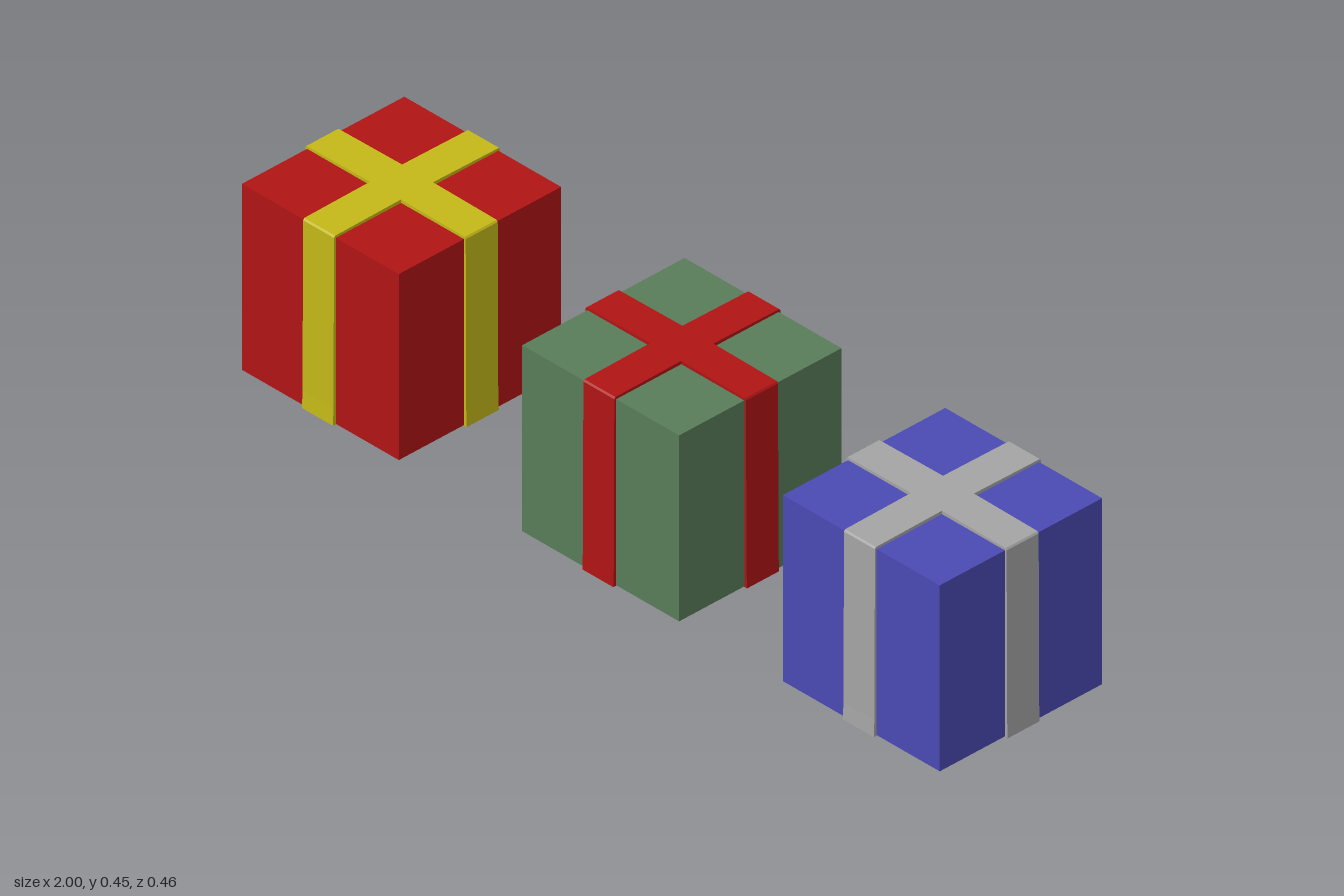
import * as THREE from 'three';

const SIDE = 0.446, HEIGHT = 0.443, RIBBON_WIDTH = 0.088;

// Upper right half of the ribbon loop, mirrored for the other half
const HALF_LOOP = [
  [0.231, 0], [0.2295, 0.04], [0.229, 0.16], [0.2285, 0.3],
  [0.228, 0.445], [0.225, 0.449], [0.18, 0.4495], [0.05, 0.451],
];

// Band wrapped around the box, running along x
function ribbonGeometry() {
  const mirrored = HALF_LOOP.map(([x, y]) => [-x, y]).reverse();
  const outline = [...HALF_LOOP, ...mirrored].map(([x, y]) => new THREE.Vector2(x, y));
  const geometry = new THREE.ExtrudeGeometry(new THREE.Shape(outline), {
    depth: RIBBON_WIDTH, bevelEnabled: false,
  });
  return geometry.translate(0, 0, -RIBBON_WIDTH / 2);
}

function createGift(name, x, boxColor, ribbonColor) {
  const gift = new THREE.Group();
  gift.name = name;
  gift.position.x = x;

  // Wrapped box, its base a hair above the ribbon's underside
  const base = 0.001;
  const box = new THREE.Mesh(
    new THREE.BoxGeometry(SIDE, HEIGHT - base, SIDE),
    new THREE.MeshStandardMaterial({ color: boxColor, flatShading: true }),
  );
  box.name = 'box';
  box.position.y = (HEIGHT + base) / 2;
  gift.add(box);

  // Two crossing ribbons
  const ribbonMaterial = new THREE.MeshStandardMaterial({ color: ribbonColor, flatShading: true });
  ['ribbonSideways', 'ribbonFrontToBack'].forEach((ribbonName, i) => {
    const ribbon = new THREE.Mesh(ribbonGeometry(), ribbonMaterial);
    ribbon.name = ribbonName;
    ribbon.rotation.y = i * Math.PI / 2;
    gift.add(ribbon);
  });
  return gift;
}

export function createModel() {
  const model = new THREE.Group();
  model.name = 'giftBoxes';
  model.add(
    createGift('redGift', -0.769, 0xb01414, 0xc4b818),
    createGift('greenGift', 0.028, 0x587c58, 0xb01414),
    createGift('blueGift', 0.769, 0x4a4ab4, 0xa4a4a4),
  );
  return model;
}
